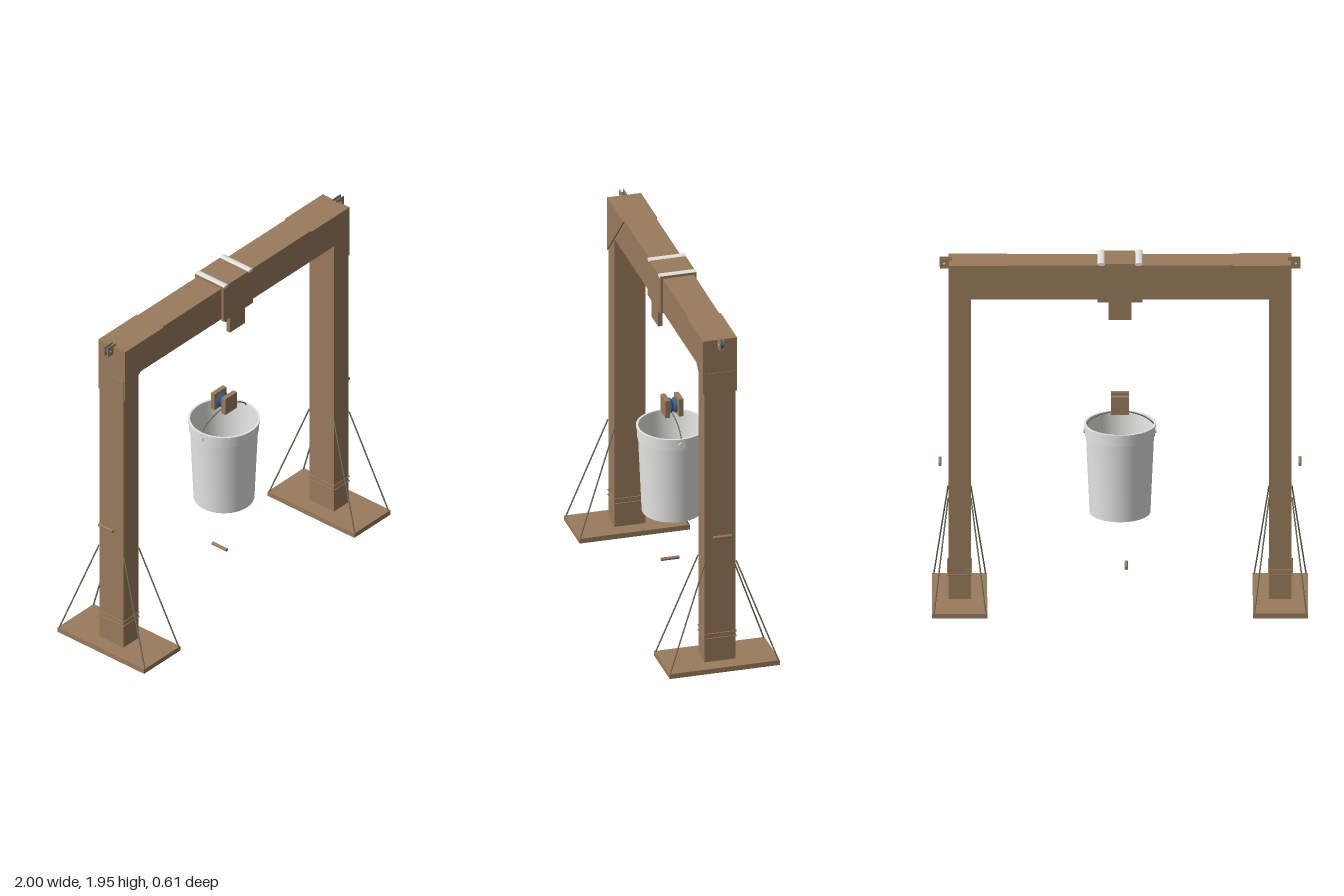
import * as THREE from 'three';
import { toCreasedNormals } from 'three/addons/utils/BufferGeometryUtils.js';

const material = (name, color) => {
  const m = new THREE.MeshStandardMaterial({ color });
  m.name = name;
  return m;
};

export function createModel() {
  const wood = material('wood brown', 0x9a7b5c);
  const white = material('bucket white', 0xf6f6f4);
  const pale = material('pale grey', 0xe2e3de);
  const wire = material('wire grey', 0x77745f);
  const steel = material('blue steel', 0x36608c);
  const model = new THREE.Group();

  const add = (name, geometry, mat, x = 0, y = 0, z = 0, parent = model) => {
    const mesh = new THREE.Mesh(geometry, mat);
    mesh.name = name;
    mesh.position.set(x, y, z);
    parent.add(mesh);
    return mesh;
  };
  const box = (name, w, h, d, mat, x, y, z, parent) =>
    add(name, new THREE.BoxGeometry(w, h, d), mat, x, y, z, parent);
  // cylinder lying along z
  const rod = (name, r, length, mat, x, y, z, parent) =>
    add(name, new THREE.CylinderGeometry(r, r, length, 32).rotateX(Math.PI / 2), mat, x, y, z, parent);
  // thin round strand between two points
  const strand = (name, a, b, r, mat, parent) => {
    const from = new THREE.Vector3(...a), to = new THREE.Vector3(...b);
    const mesh = add(name, new THREE.CylinderGeometry(r, r, from.distanceTo(to), 20), mat, 0, 0, 0, parent);
    mesh.position.copy(from).lerp(to, 0.5);
    mesh.quaternion.setFromUnitVectors(new THREE.Vector3(0, 1, 0), to.sub(from).normalize());
  };
  // grooved wheel turning about z
  const wheel = (name, r, width, x, y, parent) => {
    const h = width / 2;
    const profile = [[0, -h], [r, -h], [r, -h * 0.7], [r * 0.75, 0], [r, h * 0.7], [r, h], [0, h]]
      .map(p => new THREE.Vector2(...p));
    const g = toCreasedNormals(new THREE.LatheGeometry(profile, 40), 0.5).rotateX(Math.PI / 2);
    add(name, g, steel, x, y, 0, parent);
  };

  // Crossbeam
  box('beam', 1.82, 0.195, 0.172, wood, 0, 1.8285, 0);

  // Corner plate outline, for the +x side
  const gusset = new THREE.Shape([[0.912, 1.926], [0.6, 1.926], [0.912, 1.614]].map(p => new THREE.Vector2(...p)));
  const gussetGeometry = new THREE.ExtrudeGeometry(gusset, { depth: 0.008, bevelEnabled: false });

  for (const s of [1, -1]) {
    // Post, foot and guy wires
    const side = new THREE.Group();
    side.name = s > 0 ? 'leftSupport' : 'rightSupport';
    model.add(side);
    box('base', 0.294, 0.028, 0.61, wood, s * 0.853, 0.014, 0, side);
    box('post', 0.12, 1.71, 0.172, wood, s * 0.853, 0.878, 0, side);
    for (const z of [1, -1]) {
      for (const [top, foot] of [[0.914, 0.99], [0.793, 0.714]])
        strand('guyWire', [s * top, 0.608, z * 0.088], [s * foot, 0.026, z * 0.3], 0.004, wire, side);
      // Corner plates on the front and back
      const plate = add('cornerPlate', gussetGeometry, wood, 0, 0, z * 0.09 - s * 0.004, side);
      plate.rotation.y = s > 0 ? 0 : Math.PI;
    }
    // Bands round the post
    for (const y of [0.165, 0.193]) {
      const xi = s * 0.79, xo = s * 0.916, z = 0.088;
      const corners = [[xi, y, -z], [xi, y, z], [xo, y, z], [xo, y, -z]];
      corners.forEach((c, i) => strand('postBand', c, corners[(i + 1) % 4], 0.003, wood, side));
    }
    // Small guide pulley at the beam end
    const guide = new THREE.Group();
    guide.name = 'endPulley';
    side.add(guide);
    for (const z of [0.011, -0.011])
      box('cheek', 0.065, 0.058, 0.004, wood, s * 0.926, 1.909, z, guide);
    rod('guideWheel', 0.022, 0.015, steel, s * 0.935, 1.909, 0, guide);
    rod('guideAxle', 0.006, 0.03, pale, s * 0.935, 1.909, 0, guide);
    // Hand peg beside the post
    rod('sidePeg', 0.009, 0.1, wood, s * 0.957, 0.78, 0, side);
  }

  // Centre saddle with two straps and the upper pulley
  const saddle = new THREE.Group();
  saddle.name = 'saddle';
  model.add(saddle);
  box('saddleTop', 0.24, 0.014, 0.2, wood, 0, 1.933, 0, saddle);
  for (const s of [1, -1]) {
    box('saddlePlate', 0.24, 0.214, 0.014, wood, 0, 1.827, s * 0.093, saddle);
    box('upperCheek', 0.124, 0.115, 0.024, wood, 0, 1.676, s * 0.083, saddle);
    const strap = rod('strap', 0.02, 0.204, pale, s * 0.1, 1.937, 0, saddle);
    strap.scale.y = 0.45;
  }
  wheel('upperWheel', 0.04, 0.06, 0, 1.672, saddle);
  rod('upperAxle', 0.008, 0.16, steel, 0, 1.672, 0, saddle);

  // Lower pulley block
  const block = new THREE.Group();
  block.name = 'lowerPulley';
  model.add(block);
  for (const z of [0.037, -0.037])
    box('lowerCheek', 0.095, 0.1, 0.026, wood, 0, 1.111, z, block);
  wheel('lowerWheel', 0.042, 0.036, 0, 1.111, block);
  rod('lowerAxle', 0.008, 0.08, steel, 0, 1.111, 0, block);

  // Bucket: outside wall, collar and rim, then the inside wall
  const bucket = new THREE.Group();
  bucket.name = 'bucket';
  model.add(bucket);
  const profile = [[0, 0.496], [0.162, 0.496], [0.181, 0.928], [0.186, 0.93], [0.187, 0.984], [0.192, 0.986],
    [0.192, 0.997], [0.18, 0.997], [0.154, 0.506], [0, 0.506]];
  const shell = new THREE.LatheGeometry(profile.map(p => new THREE.Vector2(...p)), 64);
  add('bucketShell', toCreasedNormals(shell, 0.5), white, 0, 0, 0, bucket);
  add('bucketBottom', new THREE.CylinderGeometry(0.161, 0.161, 0.004, 64), pale, 0, 0.495, 0, bucket);

  // Handle and its ears
  const arc = new THREE.CatmullRomCurve3([[-0.19, 0.955], [-0.185, 0.985], [-0.14, 1.028], [-0.07, 1.056],
    [0, 1.064], [0.07, 1.056], [0.14, 1.028], [0.185, 0.985], [0.19, 0.955]].map(p => new THREE.Vector3(p[0], p[1], 0)));
  add('handle', new THREE.TubeGeometry(arc, 48, 0.0035, 10), wire, 0, 0, 0, bucket);
  for (const s of [1, -1])
    add('handleEar', new THREE.CylinderGeometry(0.018, 0.018, 0.012, 24).rotateZ(Math.PI / 2), white, s * 0.188, 0.96, 0, bucket);

  // Loose peg below the bucket
  rod('lowerPeg', 0.009, 0.1, wood, -0.034, 0.188, 0);

  return model;
}
